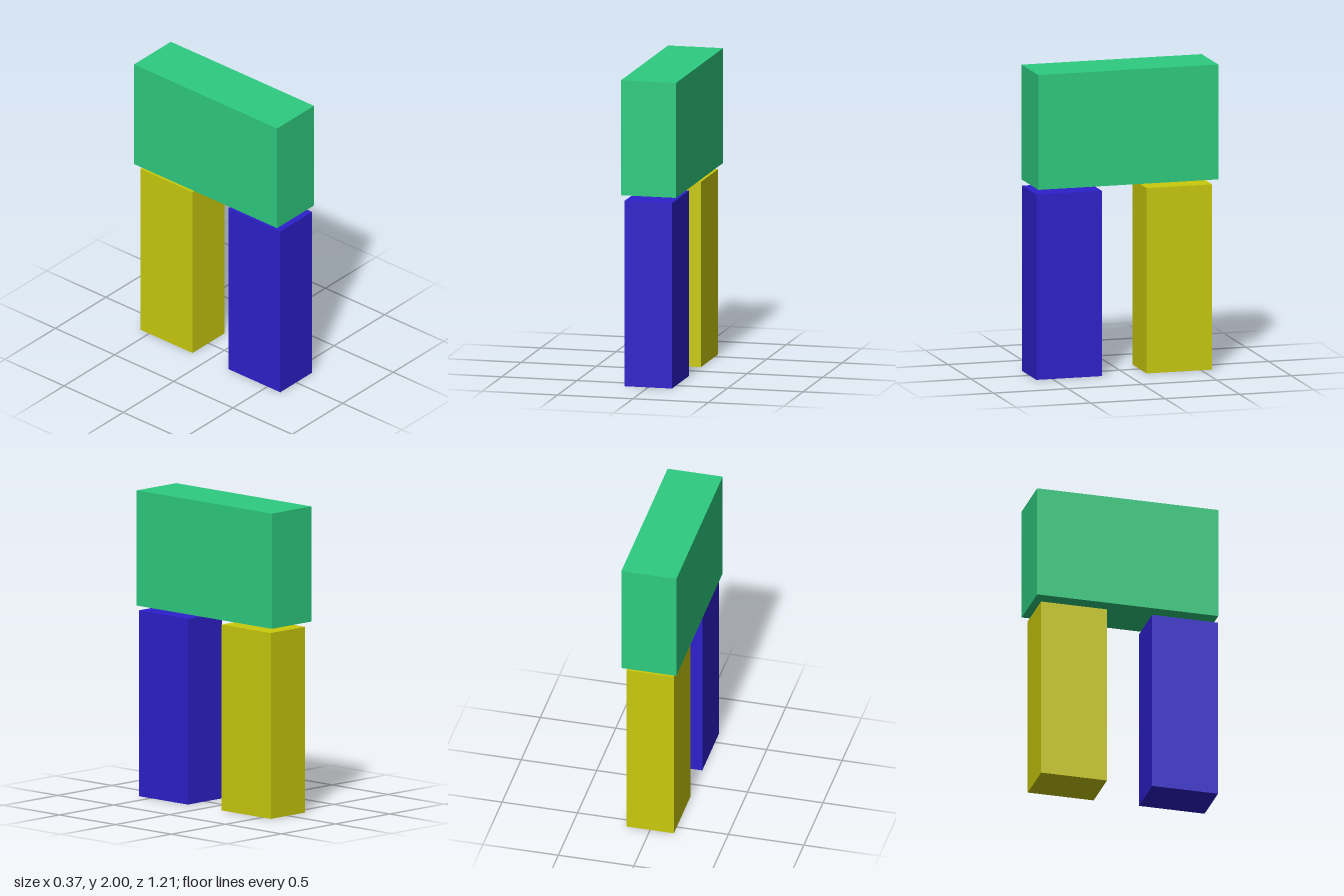
import * as THREE from 'three';

// Box given by its full width about x = 0 and its y and z ranges
function block(name, material, width, [y0, y1], [z0, z1]) {
  const mesh = new THREE.Mesh(new THREE.BoxGeometry(width, y1 - y0, z1 - z0), material);
  mesh.name = name;
  mesh.position.set(0, (y0 + y1) / 2, (z0 + z1) / 2);
  return mesh;
}

function flat(name, color) {
  const material = new THREE.MeshStandardMaterial({ color });
  material.name = name;
  return material;
}

export function createModel() {
  const model = new THREE.Group();
  model.name = 'blockArch';
  const legHeight = [0, 1.213];

  model.add(
    // Lintel floating just above the two pillars
    block('lintel', flat('green', 0x2ecc80), 0.365, [1.248, 2], [-0.607, 0.602]),
    // Pillars
    block('frontPillar', flat('blue', 0x2d20cc), 0.315, legHeight, [0.168, 0.607]),
    block('backPillar', flat('yellow', 0xcaca0e), 0.315, legHeight, [-0.574, -0.134])
  );
  return model;
}
